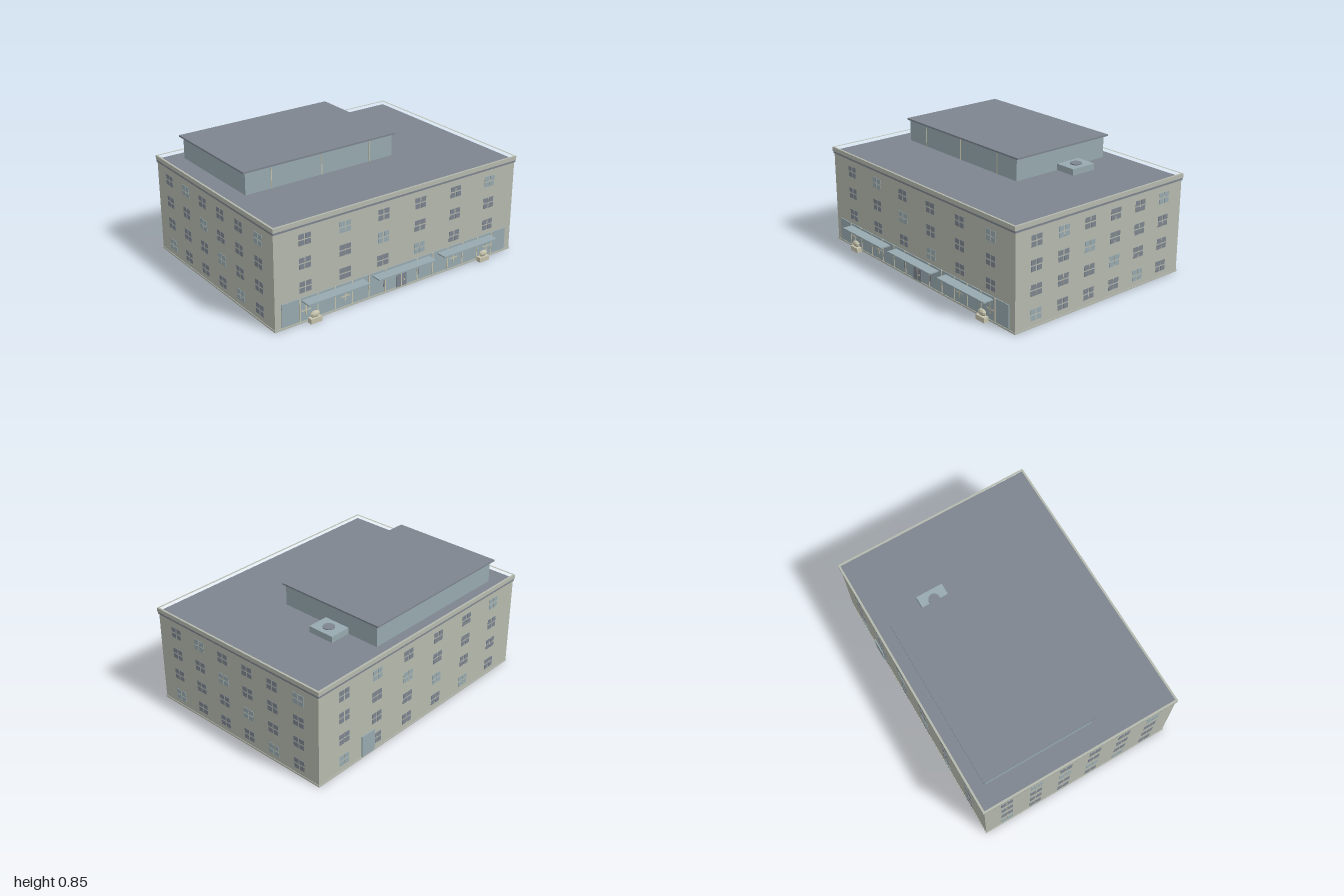
import * as THREE from 'three';
import { mergeGeometries } from 'three/addons/utils/BufferGeometryUtils.js';

const mat = (name, color) => {
  const m = new THREE.MeshStandardMaterial({ color });
  m.name = name;
  return m;
};

export function createModel() {
  const wall = mat('wall', 0xb5b9ad);
  const slate = mat('slate', 0x7d858f);
  const glass = mat('pale glass', 0x97a9af);
  const trim = mat('cream trim', 0xc5c3ac);

  const model = new THREE.Group();
  model.name = 'officeBuilding';

  const add = (parent, name, geometry, material) => {
    const mesh = new THREE.Mesh(geometry, material);
    mesh.name = name;
    parent.add(mesh);
    return mesh;
  };
  // Box given by its extents along each axis
  const span = (x0, x1, y0, y1, z0, z1) =>
    new THREE.BoxGeometry(x1 - x0, y1 - y0, z1 - z0)
      .translate((x0 + x1) / 2, (y0 + y1) / 2, (z0 + z1) / 2);
  const rect = (Type, x0, x1, z0, z1) => {
    const p = new Type();
    p.moveTo(x0, -z0);
    p.lineTo(x1, -z0);
    p.lineTo(x1, -z1);
    p.lineTo(x0, -z1);
    p.closePath();
    return p;
  };

  // Main block
  const X = 0.993, FRONT = 0.693, BACK = -0.767;
  add(model, 'mainBlock', span(-X, X, 0, 0.67, BACK, FRONT), wall);
  add(model, 'plinth', span(-0.997, 0.997, 0, 0.012, BACK - 0.004, FRONT + 0.004), wall);
  add(model, 'corniceBand', span(-0.998, 0.998, 0.665, 0.68, BACK - 0.007, FRONT + 0.007), slate);
  add(model, 'roofDeck', span(-0.99, 0.99, 0.675, 0.685, BACK, FRONT), slate);

  // Parapet ring around the roof
  const ring = rect(THREE.Shape, -1, 1, -0.776, 0.703);
  ring.holes.push(rect(THREE.Path, -0.986, 0.986, -0.762, 0.689));
  const parapet = new THREE.ExtrudeGeometry(ring, { depth: 0.03, bevelEnabled: false });
  add(model, 'parapet', parapet.rotateX(-Math.PI / 2).translate(0, 0.68, 0), wall);

  // Four-pane windows on each side; a diagonal pattern of them is pale
  const rows = [0.088, 0.253, 0.417, 0.578];
  const W = 0.088, H = 0.076, GAP = 0.009;
  const facade = (name, position, angle, pitch, firstRow) => {
    const side = new THREE.Group();
    side.name = name;
    side.position.set(...position);
    side.rotation.y = angle;
    model.add(side);
    const dark = [], pale = [];
    for (let row = firstRow; row < 4; row++) {
      for (let col = 0; col < 6; col++) {
        const list = (row + col) % 4 === 0 ? pale : dark;
        for (const sx of [-1, 1]) {
          for (const sy of [-1, 1]) {
            list.push(new THREE.BoxGeometry((W - GAP) / 2, (H - GAP) / 2, 0.004).translate(
              (col - 2.5) * pitch + sx * (W + GAP) / 4, rows[row] + sy * (H + GAP) / 4, 0.001));
          }
        }
      }
    }
    add(side, 'darkWindows', mergeGeometries(dark), slate);
    add(side, 'paleWindows', mergeGeometries(pale), glass);
    return side;
  };
  const midZ = (FRONT + BACK) / 2;
  const front = facade('frontFacade', [0, 0, FRONT], 0, 0.306, 1);
  facade('leftFacade', [X, 0, midZ], Math.PI / 2, 0.225, 0);
  facade('rightFacade', [-X, 0, midZ], -Math.PI / 2, 0.225, 0);
  const back = facade('backFacade', [0, 0, BACK], Math.PI, 0.306, 0);
  add(back, 'serviceDoor', span(-0.6, -0.48, 0.012, 0.17, 0, 0.008), glass);

  // Ground floor shopfront with mullions and window crosses
  add(front, 'shopfrontGlass', span(-0.945, 0.94, 0.018, 0.18, 0, 0.006), glass);
  const bars = [];
  for (let i = 1; i < 14; i++) {
    if (i === 7) continue;
    const x = -0.945 + i * 0.135;
    bars.push(span(x - 0.004, x + 0.004, 0.018, 0.18, 0.005, 0.009));
  }
  for (const x of [-0.765, -0.459, 0.459, 0.765]) {
    bars.push(span(x - 0.004, x + 0.004, 0.055, 0.125, 0.005, 0.008));
    bars.push(span(x - 0.036, x + 0.036, 0.084, 0.092, 0.005, 0.008));
  }
  add(front, 'shopfrontBars', mergeGeometries(bars), trim);

  // Entrance doors with handles
  for (const s of [-1, 1]) {
    add(front, 'doorLeaf', span(Math.min(s * 0.004, s * 0.043), Math.max(s * 0.004, s * 0.043),
      0.016, 0.142, 0.004, 0.009), slate);
    add(front, 'doorSidelight', span(s * 0.142 - 0.01, s * 0.142 + 0.01, 0.055, 0.125, 0.003, 0.008), slate);
  }
  add(front, 'doorPost', span(-0.004, 0.004, 0.016, 0.142, 0.004, 0.009), trim);
  add(front, 'doorHandle', span(0.017, 0.027, 0.055, 0.064, 0.008, 0.014), trim);

  // Flat canopies over the shopfront
  for (const x of [-0.557, -0.002, 0.553]) {
    add(model, 'canopy', span(x - 0.24, x + 0.24, 0.157, 0.166, FRONT, 0.774), glass);
  }

  // Planters with a rounded shrub on top
  for (const x of [-0.715, 0.715]) {
    const planter = new THREE.Group();
    planter.name = 'planter';
    planter.position.set(x, 0, 0.724);
    model.add(planter);
    add(planter, 'planterBox', span(-0.042, 0.042, 0, 0.034, -0.019, 0.019), trim);
    const shrub = new THREE.SphereGeometry(1, 8, 5).scale(0.038, 0.023, 0.018);
    add(planter, 'planterShrub', shrub.toNonIndexed().translate(0, 0.056, 0), trim)
      .geometry.computeVertexNormals();
  }

  // Rooftop penthouse
  add(model, 'penthouse', span(-0.835, 0.355, 0.68, 0.842, -0.668, 0.133), glass);
  add(model, 'penthouseRoof', span(-0.855, 0.375, 0.84, 0.852, -0.69, 0.145), slate);
  for (const x of [-0.637, -0.24, 0.157]) {
    add(model, 'penthouseMullion', span(x - 0.003, x + 0.003, 0.685, 0.84, 0.13, 0.136), trim);
  }

  // Rooftop ventilation unit
  add(model, 'ventBox', span(0.355, 0.51, 0.68, 0.73, -0.428, -0.23), glass);
  add(model, 'ventFan', new THREE.CylinderGeometry(0.04, 0.04, 0.01, 24).translate(0.434, 0.732, -0.33), slate);

  return model;
}
